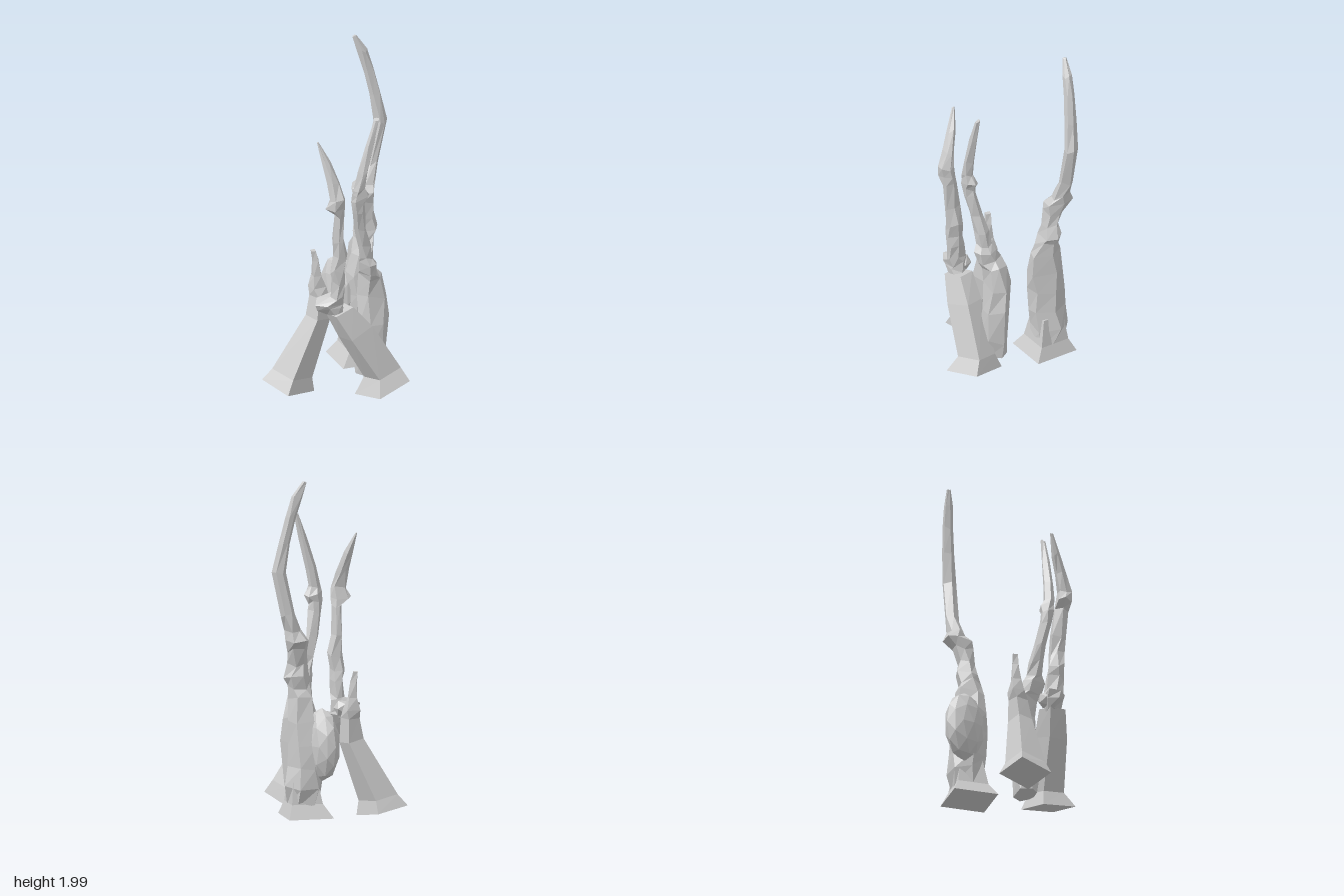
import * as THREE from 'three';

const material = new THREE.MeshStandardMaterial({ color: 0xcccccc, flatShading: true });

// Small seeded generator for the gnarled irregularity, -1..1
let seed = 7;
const rand = () => {
  seed = (seed * 16807) % 2147483647;
  return (seed / 2147483647) * 2 - 1;
};

// Four-cornered ring: centre, width, depth, turn and slope along x and z
function quad(x, y, z, w, d, turn = 0, sx = 0, sz = 0) {
  const c = Math.cos(turn), s = Math.sin(turn);
  return [[1, 1], [1, -1], [-1, -1], [-1, 1]].map(([u, v]) => {
    const a = (u * w) / 2, b = (v * d) / 2;
    const dx = a * c - b * s, dz = a * s + b * c;
    return new THREE.Vector3(x + dx, y + sx * dx + sz * dz, z + dz);
  });
}

// Irregular six-sided ring filling the given bounds at height y
function ring([y, x0, x1, z0, z1]) {
  const rx = (x1 - x0) / 2, rz = (z1 - z0) / 2;
  const points = [];
  for (let i = 0; i < 6; i++) {
    const a = (i / 6) * Math.PI * 2 + rand() * 0.24;
    const r = 1.02 + rand() * 0.07;
    points.push(new THREE.Vector3(
      (x0 + x1) / 2 + Math.cos(a) * rx * r,
      y + rand() * Math.min(rx, 0.04) * 0.45,
      (z0 + z1) / 2 - Math.sin(a) * rz * 1.12 * r));
  }
  return points;
}

// Closed skin through a stack of rings with equal point counts
function loft(name, rings) {
  const n = rings[0].length, pos = [], index = [];
  rings.forEach(r => r.forEach(p => pos.push(p.x, p.y, p.z)));
  for (let i = 0; i < rings.length - 1; i++) {
    for (let j = 0; j < n; j++) {
      const a = i * n + j, b = i * n + ((j + 1) % n);
      index.push(a, b, b + n, a, b + n, a + n);
    }
  }
  const top = (rings.length - 1) * n;
  for (let j = 1; j < n - 1; j++) {
    index.push(0, j + 1, j);
    index.push(top, top + j, top + j + 1);
  }
  const g = new THREE.BufferGeometry();
  g.setAttribute('position', new THREE.Float32BufferAttribute(pos, 3));
  g.setIndex(index);
  const flat = g.toNonIndexed();
  flat.computeVertexNormals();
  const mesh = new THREE.Mesh(flat, material);
  mesh.name = name;
  return mesh;
}

// Faceted lump on the bark
function knot(name, x, y, z, rx, ry, rz, turn, detail = 0) {
  const mesh = new THREE.Mesh(new THREE.IcosahedronGeometry(1, detail), material);
  mesh.name = name;
  mesh.position.set(x, y, z);
  mesh.scale.set(rx, ry, rz);
  mesh.rotation.y = turn;
  return mesh;
}

function trunk(name, ...parts) {
  const g = new THREE.Group();
  g.name = name;
  g.add(...parts);
  return g;
}

export function createModel() {
  const model = new THREE.Group();
  model.name = 'deadTrunks';

  // Tallest trunk at the back, on a square flared foot, with a large burl
  model.add(trunk('tallTrunk',
    loft('tallFoot', [
      quad(0.2, 0.055, -0.21, 0.26, 0.26),
      quad(0.215, 0.135, -0.21, 0.18, 0.18),
      quad(0.225, 0.3, -0.21, 0.13, 0.13),
    ]),
    loft('tallStem', [
      [0.12, 0.13, 0.3, -0.3, -0.125],
      [0.22, 0.12, 0.33, -0.325, -0.125],
      [0.33, 0.1, 0.31, -0.31, -0.12],
      [0.47, 0.1, 0.31, -0.31, -0.12],
      [0.6, 0.12, 0.31, -0.29, -0.11],
      [0.73, 0.16, 0.305, -0.275, -0.11],
      [0.8, 0.175, 0.305, -0.25, -0.14],
      [0.86, 0.18, 0.33, -0.265, -0.155],
      [0.92, 0.19, 0.31, -0.25, -0.17],
      [1.01, 0.205, 0.315, -0.28, -0.175],
      [1.07, 0.2, 0.335, -0.335, -0.18],
      [1.12, 0.245, 0.335, -0.305, -0.205],
      [1.22, 0.285, 0.36, -0.31, -0.235],
      [1.47, 0.335, 0.413, -0.31, -0.235],
      [1.63, 0.315, 0.385, -0.315, -0.255],
      [1.78, 0.285, 0.345, -0.325, -0.275],
      [1.9, 0.25, 0.31, -0.33, -0.285],
      [1.99, 0.225, 0.25, -0.33, -0.31],
    ].map(ring)),
    knot('burl', 0.122, 0.47, -0.265, 0.085, 0.21, 0.13, 0.4, 1)));

  // Short leaning stump on the side
  const t = -0.37;
  model.add(trunk('shortStump',
    loft('stumpStem', [
      quad(-0.287, 0.035, -0.037, 0.205, 0.212, t, -0.2, -0.1),
      quad(-0.265, 0.11, -0.03, 0.15, 0.17, t, -0.2, -0.05),
      quad(-0.115, 0.44, -0.012, 0.1, 0.095, t, -0.2),
      quad(-0.105, 0.57, -0.02, 0.075, 0.08, t),
      quad(-0.11, 0.62, -0.035, 0.08, 0.07, -0.1),
      quad(-0.115, 0.69, -0.035, 0.045, 0.05, 0.1),
      quad(-0.12, 0.78, -0.04, 0.035, 0.035, 0.4),
      quad(-0.13, 0.84, -0.045, 0.025, 0.03, 0.2),
    ])));

  // Front trunk: leaning foot, then an upright stem ending in a point
  model.add(trunk('frontTrunk',
    loft('frontFoot', [
      quad(0.17, 0.06, 0.25, 0.22, 0.222, -0.3, 0.27, 0.12),
      quad(0.175, 0.15, 0.237, 0.155, 0.14, -0.3, 0.27, 0.1),
      quad(0.02, 0.42, 0.215, 0.15, 0.12, -0.3, 0.35),
      quad(-0.07, 0.56, 0.195, 0.12, 0.1, -0.25, 0.25),
    ]),
    loft('frontStem', [
      [0.53, -0.14, -0.03, 0.15, 0.23],
      [0.585, -0.2, -0.04, 0.14, 0.235],
      [0.625, -0.215, -0.04, 0.135, 0.24],
      [0.66, -0.13, -0.045, 0.15, 0.25],
      [0.75, -0.12, -0.045, 0.16, 0.255],
      [0.82, -0.135, -0.045, 0.165, 0.255],
      [0.9, -0.115, -0.035, 0.175, 0.26],
      [1.0, -0.12, -0.06, 0.18, 0.265],
      [1.17, -0.12, -0.06, 0.2, 0.275],
      [1.22, -0.175, -0.06, 0.205, 0.285],
      [1.28, -0.15, -0.06, 0.215, 0.3],
      [1.38, -0.16, -0.085, 0.2, 0.255],
      [1.48, -0.175, -0.125, 0.17, 0.215],
      [1.6, -0.19, -0.18, 0.145, 0.16],
    ].map(ring)),
    knot('backKnot', -0.1, 0.6, 0.145, 0.05, 0.05, 0.045, 0.3)));

  // Middle trunk: thick blunt base, bending back and forth to a thin tip
  model.add(trunk('middleTrunk',
    loft('middleStem', [
      [0.11, 0.06, 0.23, 0.045, 0.165],
      [0.22, 0.05, 0.245, 0.045, 0.175],
      [0.42, 0.08, 0.265, 0.04, 0.17],
      [0.58, 0.09, 0.255, 0.03, 0.16],
      [0.7, 0.095, 0.22, 0.035, 0.165],
      [0.745, 0.09, 0.185, 0.06, 0.185],
      [0.795, 0.08, 0.175, 0.08, 0.205],
      [0.84, 0.075, 0.155, 0.1, 0.185],
      [0.91, 0.06, 0.14, 0.115, 0.19],
      [1.02, 0.035, 0.105, 0.14, 0.2],
      [1.15, 0.01, 0.085, 0.165, 0.225],
      [1.21, 0.0, 0.08, 0.17, 0.235],
      [1.25, 0.0, 0.11, 0.165, 0.24],
      [1.3, 0.01, 0.08, 0.185, 0.24],
      [1.4, 0.035, 0.095, 0.19, 0.24],
      [1.57, 0.085, 0.135, 0.195, 0.235],
      [1.71, 0.135, 0.165, 0.2, 0.225],
    ].map(ring))));

  return model;
}
